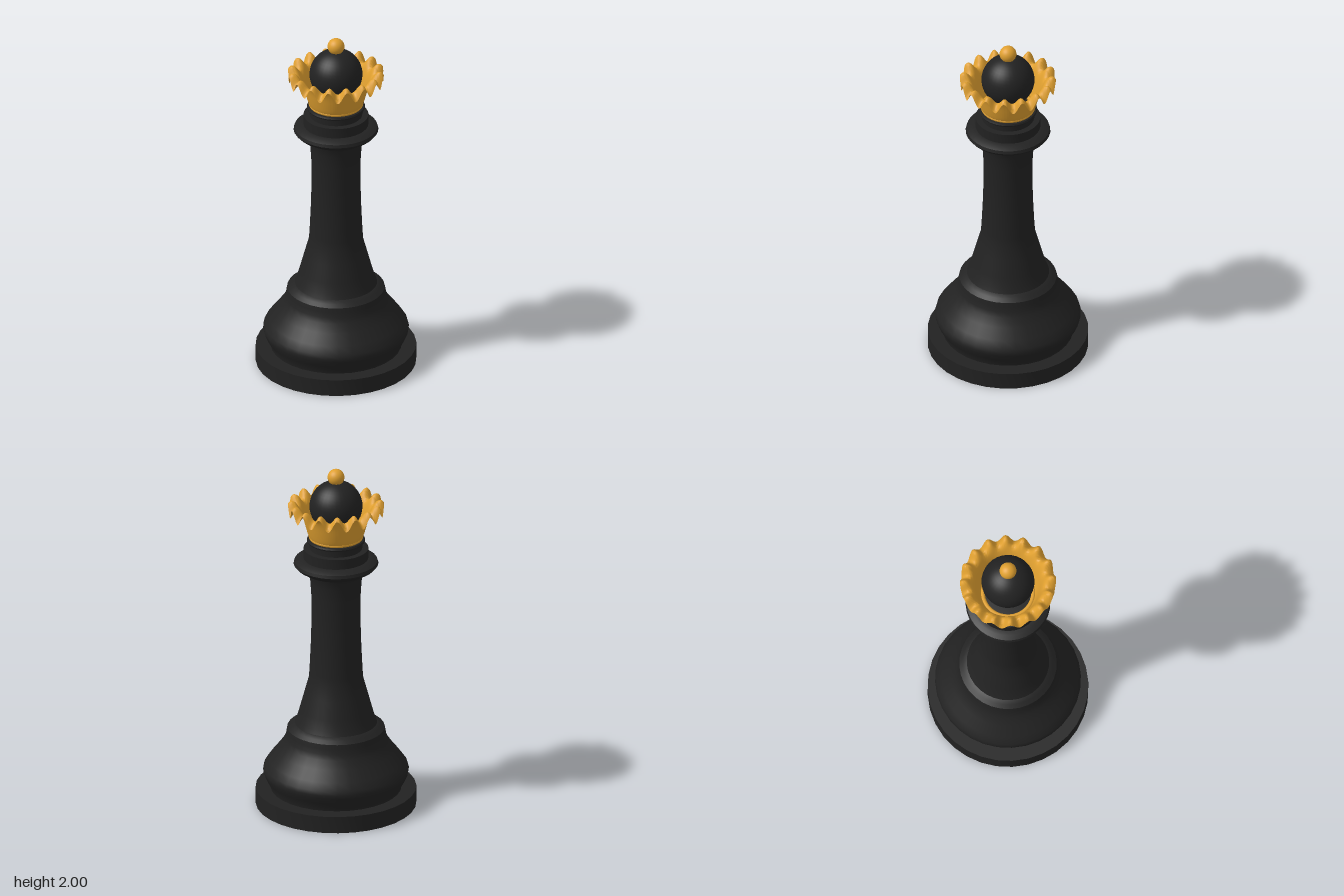
import * as THREE from 'three';
import { toCreasedNormals } from 'three/addons/utils/BufferGeometryUtils.js';

const SEGMENTS = 32;
const SCALLOPS = 16;

export function createModel() {
  const group = new THREE.Group();
  const black = new THREE.MeshStandardMaterial({ color: 0x222222 });
  const gold = new THREE.MeshStandardMaterial({ color: 0xe0a030 });
  const goldShell = new THREE.MeshStandardMaterial({ color: 0xe0a030, side: THREE.DoubleSide });

  function add(name, geometry, material, y = 0) {
    const mesh = new THREE.Mesh(geometry, material);
    mesh.name = name;
    mesh.position.y = y;
    group.add(mesh);
  }
  // Turned part from [radius, height] pairs, listed bottom to top
  function turned(name, profile, material) {
    const points = profile.map(([r, y]) => new THREE.Vector2(r, y));
    add(name, toCreasedNormals(new THREE.LatheGeometry(points, SEGMENTS), 0.6), material);
  }

  turned('basePlate', [[0, 0], [0.445, 0], [0.445, 0.097], [0, 0.097]], black);

  // Bulging foot with a small shoulder at its top
  turned('foot', [
    [0.362, 0.09], [0.366, 0.115], [0.385, 0.15], [0.4, 0.185], [0.404, 0.205], [0.398, 0.228],
    [0.37, 0.268], [0.325, 0.325], [0.293, 0.37], [0.28, 0.4], [0.275, 0.43],
    [0.27, 0.455], [0.25, 0.47], [0.228, 0.485], [0.2, 0.49],
  ], black);

  turned('column', [
    [0.235, 0.47], [0.217, 0.51], [0.2, 0.57], [0.173, 0.67], [0.151, 0.75], [0.147, 0.8],
    [0.14, 0.95], [0.137, 1.05], [0.137, 1.25], [0.142, 1.33], [0.152, 1.385], [0.165, 1.41],
  ], black);

  // Round collar and the stepped rings above it
  turned('collar', [
    [0.13, 1.38], [0.152, 1.385], [0.185, 1.398], [0.22, 1.42], [0.235, 1.438],
    [0.23, 1.455], [0.205, 1.467], [0.18, 1.472], [0.12, 1.472],
  ], black);
  turned('neckRings', [
    [0.18, 1.46], [0.18, 1.53], [0.146, 1.53], [0.146, 1.565], [0.158, 1.57],
    [0.162, 1.578], [0.158, 1.587], [0.14, 1.59], [0, 1.59],
  ], black);

  // Flared crown: an open shell whose curled rim ripples up and down
  const flare = new THREE.SplineCurve([
    [0.14, 1.585], [0.153, 1.61], [0.168, 1.66], [0.184, 1.72],
    [0.202, 1.763], [0.225, 1.785], [0.248, 1.781], [0.264, 1.762],
  ].map(([r, y]) => new THREE.Vector2(r, y)));
  const crown = new THREE.LatheGeometry(flare.getPoints(24), SCALLOPS * 12);
  const pos = crown.attributes.position;
  for (let i = 0; i < pos.count; i++) {
    const x = pos.getX(i), z = pos.getZ(i);
    const ripple = THREE.MathUtils.smoothstep(Math.hypot(x, z), 0.178, 0.26);
    const wave = Math.cos(Math.atan2(z, x) * SCALLOPS) * ripple;
    const swell = 1 + 0.012 * wave;
    pos.setXYZ(i, x * swell, pos.getY(i) + 0.034 * wave, z * swell);
  }
  add('crown', toCreasedNormals(crown, 1.2), goldShell);
  const band = new THREE.TorusGeometry(0.14, 0.012, 8, SEGMENTS).rotateX(Math.PI / 2);
  add('crownBand', band, gold, 1.598);

  add('dome', new THREE.SphereGeometry(0.147, SEGMENTS, 24), black, 1.78);
  add('finial', new THREE.SphereGeometry(0.047, 24, 16), gold, 1.953);
  return group;
}
